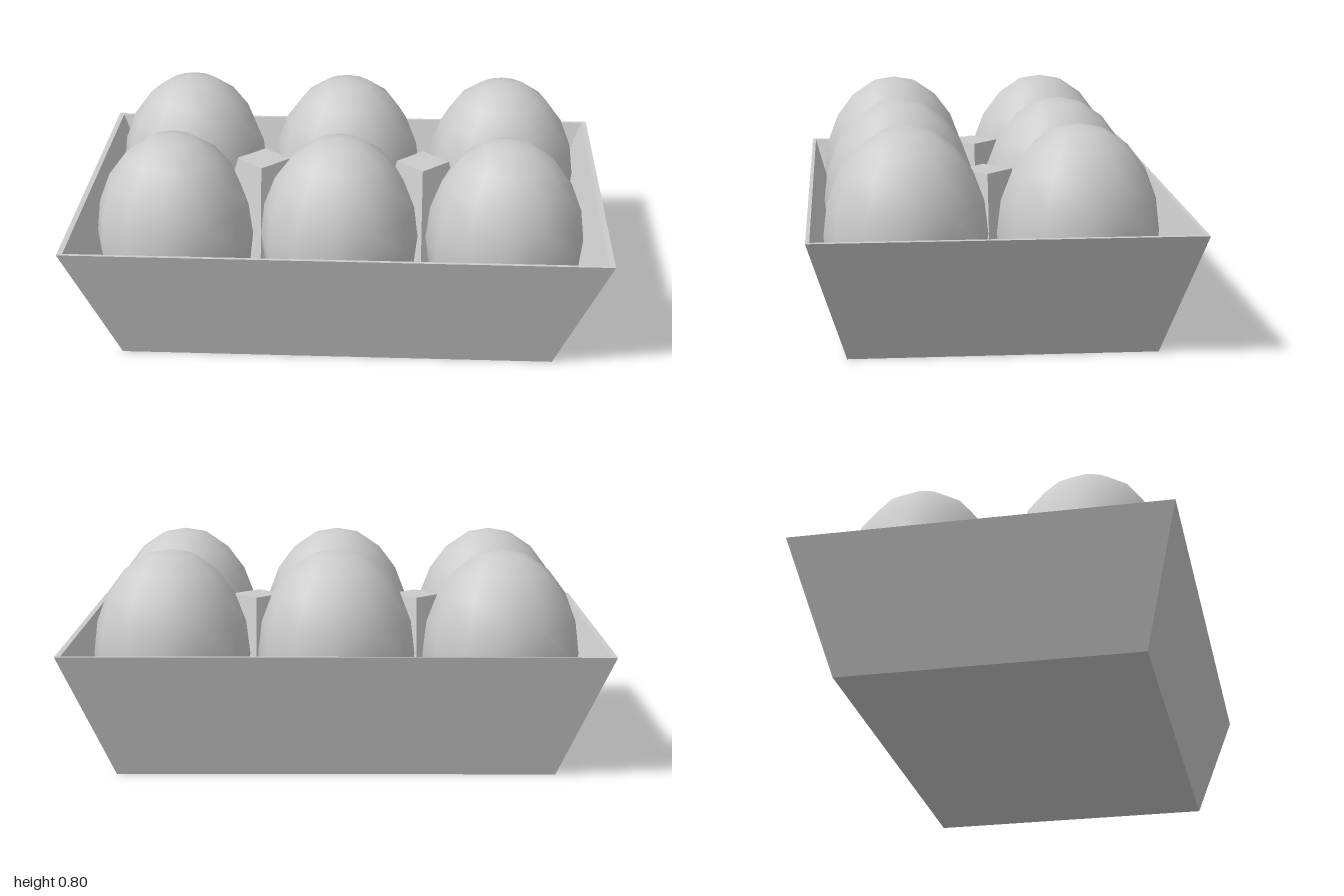
import * as THREE from 'three';

const flat = new THREE.MeshStandardMaterial({ color: 0xcccccc, flatShading: true });
const smooth = new THREE.MeshStandardMaterial({ color: 0xcccccc });

function add(parent, name, geometry, material, x = 0, y = 0, z = 0) {
  const mesh = new THREE.Mesh(geometry, material);
  mesh.name = name;
  mesh.position.set(x, y, z);
  parent.add(mesh);
  return mesh;
}

// Four-sided open tray: half-width profile swept round a square, then narrowed in z
function trayGeometry() {
  const profile = [[0, 0], [0.805, 0], [1, 0.465], [0.98, 0.465], [0.785, 0.02], [0, 0.02]]
    .map(([halfWidth, y]) => new THREE.Vector2(halfWidth * Math.SQRT2, y));
  const geometry = new THREE.LatheGeometry(profile, 4, Math.PI / 4).toNonIndexed();
  geometry.scale(1, 1, 0.687);
  geometry.computeVertexNormals();
  return geometry;
}

export function createModel() {
  const model = new THREE.Group();
  model.name = 'eggTray';
  add(model, 'tray', trayGeometry(), flat);

  // Eggs: three columns by two rows, set slightly toward the front
  const egg = new THREE.SphereGeometry(0.295, 12, 10);
  egg.scale(1, 1.34, 1);
  const eggs = new THREE.Group();
  eggs.name = 'eggs';
  model.add(eggs);
  for (const x of [-0.62, 0, 0.62]) {
    for (const z of [-0.285, 0.335]) add(eggs, 'egg', egg, smooth, x, 0.4, z);
  }

  // Tapered diamond posts between the eggs
  const post = new THREE.CylinderGeometry(0.1, 0.262, 0.555, 4);
  for (const x of [-0.31, 0.31]) add(model, 'dividerPost', post, flat, x, 0.2975, 0.025);

  return model;
}
